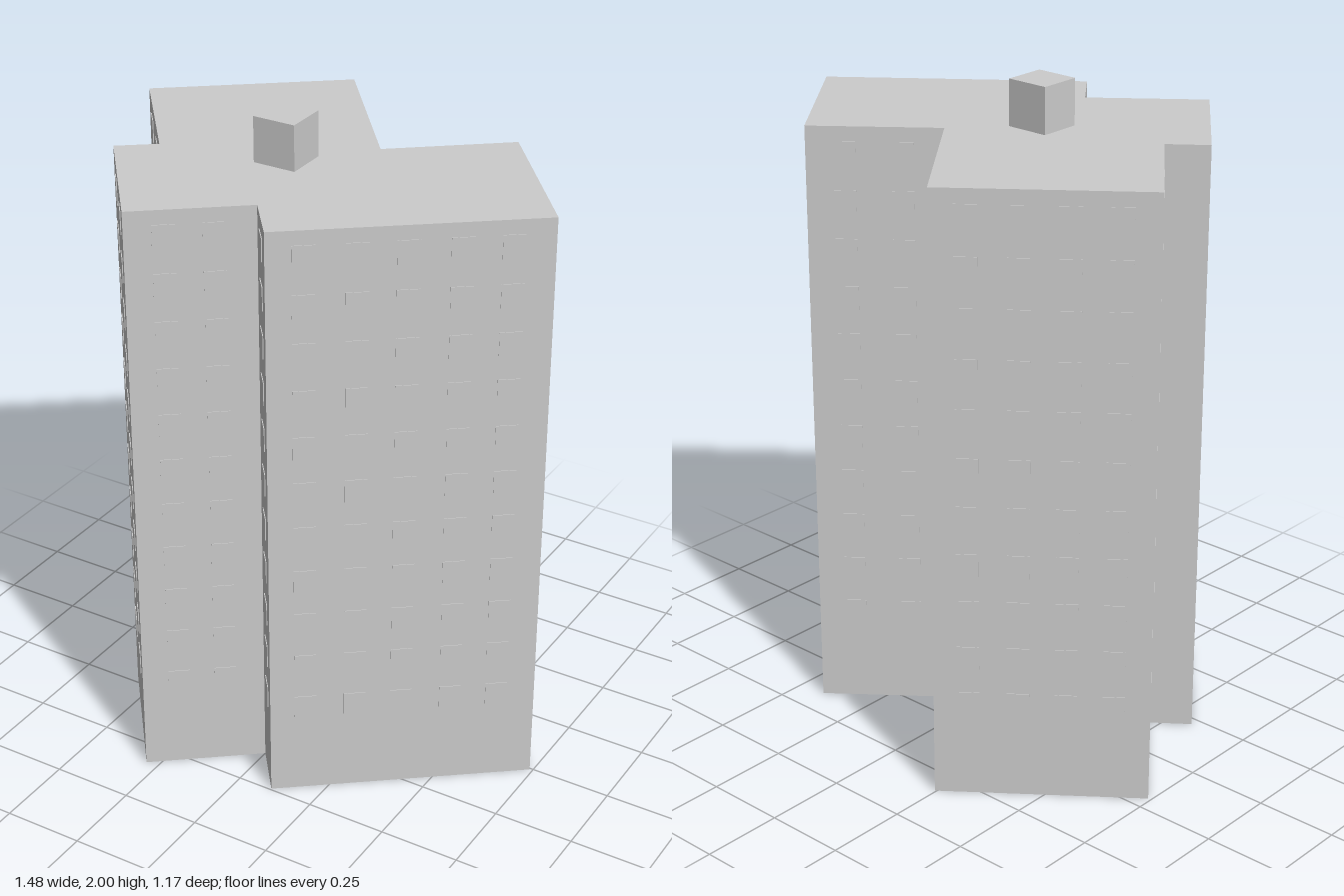
import * as THREE from 'three';
import { mergeGeometries } from 'three/addons/utils/BufferGeometryUtils.js';

const ROOF_Y = 1.86;
const FLOORS = 11, FIRST_FLOOR_Y = 0.3, FLOOR_STEP = 0.148;

// Footprint corners (x, z), each with the window column positions
// as fractions along the wall leading to the next corner
const WALLS = [
  { at: [-0.74, -0.2], columns: [0.17, 0.39, 0.61, 0.84] },
  { at: [-0.245, -0.585], columns: [0.21, 0.5, 0.79] },
  { at: [0.095, -0.155], columns: [0.3, 0.72] },
  { at: [0.41, -0.405], columns: [0.23, 0.48, 0.8] },
  { at: [0.74, 0.005], columns: [0.146, 0.322, 0.508, 0.683, 0.868] },
  { at: [0.11, 0.495], columns: [0.5] },
  { at: [0, 0.355], columns: [0.32, 0.7] },
  { at: [-0.29, 0.583], columns: [0.29, 0.72] },
  { at: [-0.575, 0.22], columns: [] },
  { at: [-0.47, 0.14], columns: [0.3, 0.72] },
];

const material = new THREE.MeshStandardMaterial({
  color: 0xcccccc, flatShading: true, side: THREE.DoubleSide,
});

function addMesh(parent, name, geometry) {
  const mesh = new THREE.Mesh(geometry, material);
  mesh.name = name;
  parent.add(mesh);
  return mesh;
}

// One facade: a flat wall with a grid of thin window panels
function makeFacade(start, end, columns) {
  const dx = end[0] - start[0], dz = end[1] - start[1];
  const length = Math.hypot(dx, dz);
  const facade = new THREE.Group();
  facade.name = 'facade';
  facade.position.set((start[0] + end[0]) / 2, 0, (start[1] + end[1]) / 2);
  facade.rotation.y = Math.atan2(dz, -dx);

  addMesh(facade, 'wall', new THREE.PlaneGeometry(length, ROOF_Y).translate(0, ROOF_Y / 2, 0));

  const panels = [];
  for (const column of columns) {
    for (let floor = 0; floor < FLOORS; floor++) {
      panels.push(new THREE.BoxGeometry(0.065, 0.072, 0.005)
        .translate((0.5 - column) * length, FIRST_FLOOR_Y + floor * FLOOR_STEP, 0));
    }
  }
  if (panels.length) addMesh(facade, 'windows', mergeGeometries(panels));
  return facade;
}

export function createModel() {
  const tower = new THREE.Group();
  tower.name = 'apartmentTower';

  // Outer walls, open at the bottom
  WALLS.forEach((wall, i) => {
    const next = WALLS[(i + 1) % WALLS.length];
    tower.add(makeFacade(wall.at, next.at, wall.columns));
  });

  // Flat roof over the stepped footprint
  const outline = new THREE.Shape(WALLS.map(({ at }) => new THREE.Vector2(at[0], -at[1])));
  const roof = addMesh(tower, 'roof', new THREE.ShapeGeometry(outline).rotateX(-Math.PI / 2));
  roof.position.y = ROOF_Y;

  // Rooftop stair housing
  const housing = addMesh(tower, 'roofHousing', new THREE.BoxGeometry(0.135, 2 - ROOF_Y, 0.13));
  housing.position.set(-0.098, (2 + ROOF_Y) / 2, 0.047);

  return tower;
}
